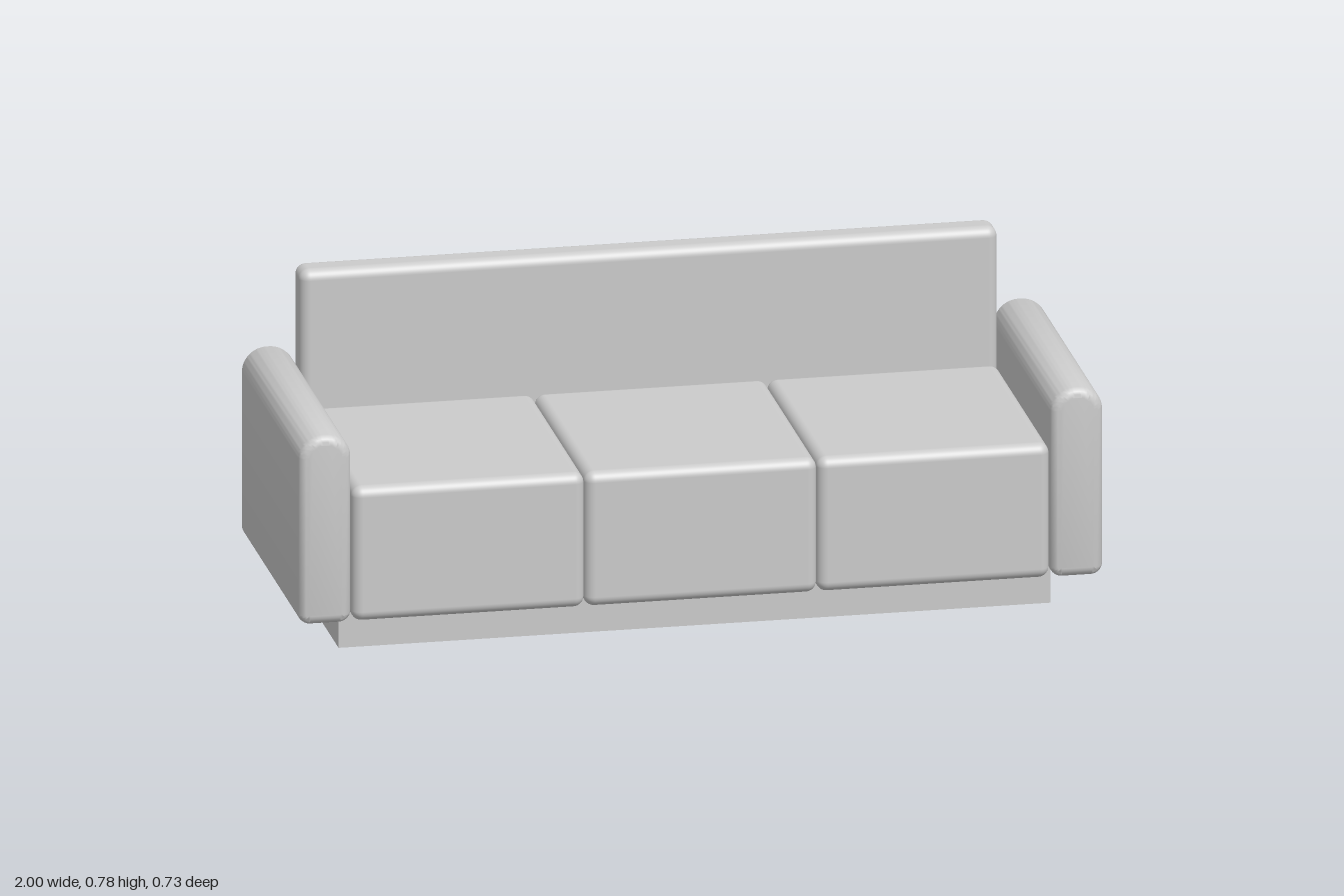
import * as THREE from 'three';
import { RoundedBoxGeometry } from 'three/addons/geometries/RoundedBoxGeometry.js';
import { toCreasedNormals } from 'three/addons/utils/BufferGeometryUtils.js';

const material = new THREE.MeshStandardMaterial({ color: 0xcccccc });
const BOTTOM = 0.09; // underside of the upholstery

function add(group, name, geometry, x = 0, y = 0, z = 0) {
  const mesh = new THREE.Mesh(geometry, material);
  mesh.name = name;
  mesh.position.set(x, y, z);
  group.add(mesh);
}

// Armrest: arched cross-section run front to back, with rounded ends
function armGeometry(width, height, depth) {
  const bevel = 0.024, low = 0.006;
  const w = width / 2 - bevel, b = bevel, t = height - bevel;
  const top = w - 0.003;
  const s = new THREE.Shape();
  s.moveTo(-w + low, b);
  s.lineTo(w - low, b);
  s.absarc(w - low, b + low, low, -Math.PI / 2, 0);
  s.lineTo(w, t - top);
  s.absarc(w - top, t - top, top, 0, Math.PI / 2);
  s.lineTo(-w + top, t);
  s.absarc(-w + top, t - top, top, Math.PI / 2, Math.PI);
  s.lineTo(-w, b + low);
  s.absarc(-w + low, b + low, low, Math.PI, Math.PI * 1.5);
  const g = new THREE.ExtrudeGeometry(s, {
    depth: depth - 2 * bevel, bevelSize: bevel, bevelThickness: bevel, bevelSegments: 5, curveSegments: 10,
  });
  g.translate(0, 0, -depth / 2 + bevel);
  return toCreasedNormals(g, 0.7);
}

// Plinth: open rectangular frame
function plinthGeometry(width, depth, height, wall) {
  const rect = (Type, x, z) => new Type([[-x, -z], [x, -z], [x, z], [-x, z]].map(p => new THREE.Vector2(...p)));
  const s = rect(THREE.Shape, width / 2, depth / 2);
  s.holes.push(rect(THREE.Path, width / 2 - wall, depth / 2 - wall));
  const g = new THREE.ExtrudeGeometry(s, { depth: height, bevelEnabled: false });
  return g.rotateX(-Math.PI / 2);
}

export function createModel() {
  const sofa = new THREE.Group();
  sofa.name = 'sofa';

  add(sofa, 'plinth', plinthGeometry(1.77, 0.556, BOTTOM, 0.018));

  // Three seat cushions side by side
  const cushionW = 0.578, cushionH = 0.345;
  ['right', 'middle', 'left'].forEach((side, i) => {
    add(sofa, side + 'SeatCushion', new RoundedBoxGeometry(cushionW, cushionH, 0.645, 5, 0.026),
      (i - 1) * cushionW, BOTTOM + cushionH / 2, 0.041);
  });

  // Backrest
  const backH = 0.693;
  add(sofa, 'backrest', new RoundedBoxGeometry(1.735, backH, 0.086, 5, 0.026), 0, BOTTOM + backH / 2, -0.322);

  // Armrests
  const arm = armGeometry(0.131, 0.485, 0.73);
  add(sofa, 'leftArmrest', arm, 0.9345, BOTTOM, 0);
  add(sofa, 'rightArmrest', arm, -0.9345, BOTTOM, 0);

  return sofa;
}
